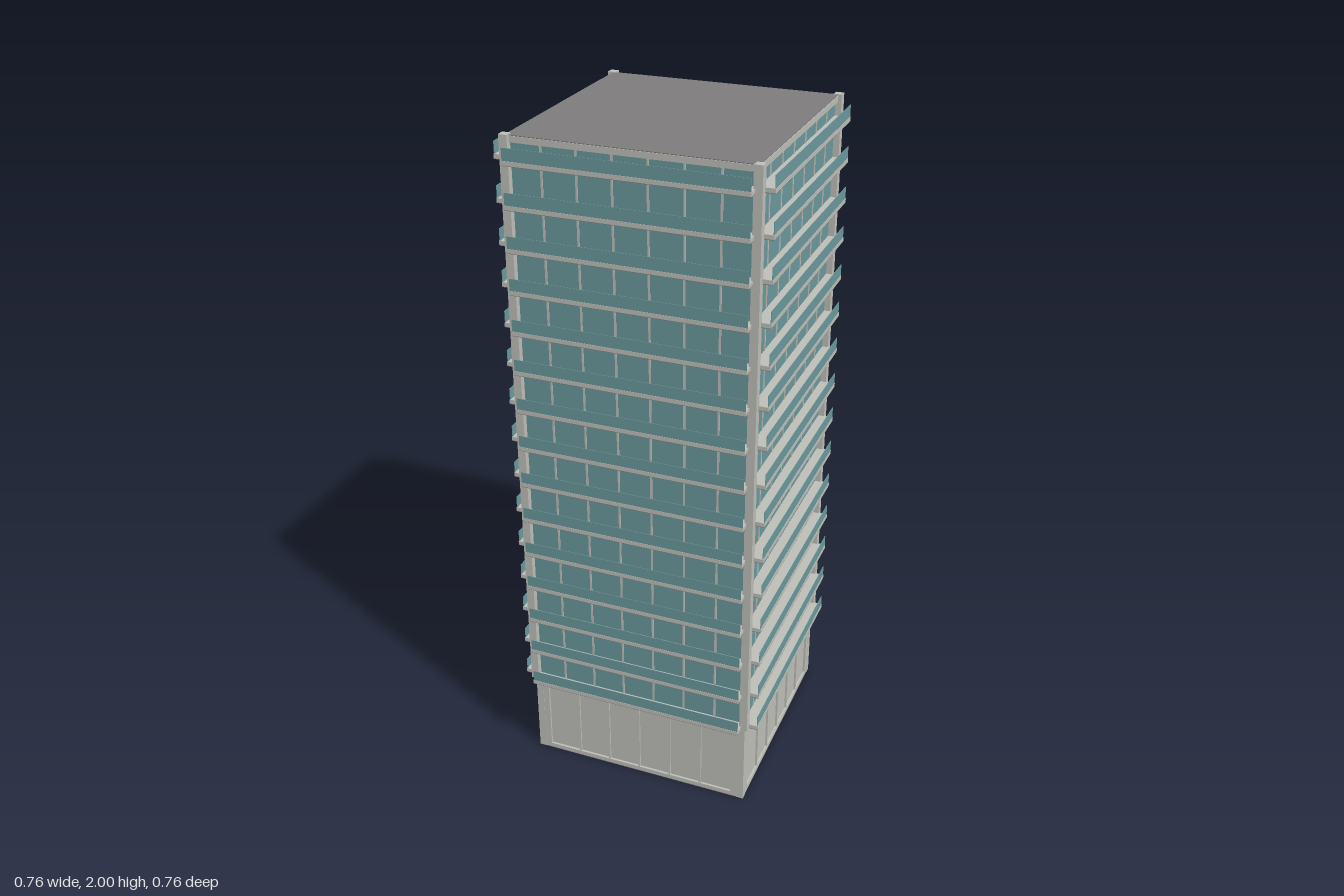
import * as THREE from 'three';

const concrete = new THREE.MeshStandardMaterial({ color: 0xc0c0ba });
concrete.name = 'concrete';
const glass = new THREE.MeshStandardMaterial({ color: 0x6c9a9d });
glass.name = 'teal glass';
const dark = new THREE.MeshStandardMaterial({ color: 0x7e7c7d });
dark.name = 'dark grey';

const FLOORS = 15, STEP = 0.118, FIRST = 0.281; // balcony levels
const HALF = 0.335;
const BASE_TOP = 0.275;

// Box given by its lower and upper limits on each axis
function box(parent, name, material, x0, x1, y0, y1, z0, z1) {
  const mesh = new THREE.Mesh(new THREE.BoxGeometry(x1 - x0, y1 - y0, z1 - z0), material);
  mesh.position.set((x0 + x1) / 2, (y0 + y1) / 2, (z0 + z1) / 2);
  mesh.name = name;
  parent.add(mesh);
}

// One facade, facing +z
function createSide() {
  const side = new THREE.Group();

  // Hollow base: recessed wall with a flush frame and ribs between six panels
  box(side, 'baseWall', concrete, -0.332, 0.332, 0.002, BASE_TOP, 0.326, 0.336);
  box(side, 'baseUnderside', dark, -0.332, 0.332, 0, 0.002, 0.326, 0.343);
  box(side, 'baseBottomBand', concrete, -0.332, 0.332, 0.002, 0.016, 0.33, 0.343);
  box(side, 'baseTopBand', concrete, -0.332, 0.332, 0.255, BASE_TOP - 0.001, 0.33, 0.343);
  for (const s of [-1, 1]) {
    box(side, 'baseJamb', concrete, s * 0.318 - 0.015, s * 0.318 + 0.015, 0.01, 0.26, 0.33, 0.343);
  }
  for (let i = -2; i <= 2; i++) {
    const x = i * 0.101;
    box(side, 'baseRib', concrete, x - 0.003, x + 0.003, 0.01, 0.26, 0.33, 0.342);
  }

  // Curtain wall with six slim mullions
  box(side, 'curtainWall', glass, -0.332, 0.332, BASE_TOP, 1.98, 0.332, 0.336);
  for (let i = 0; i < 6; i++) {
    const x = (i - 2.5) * 0.098;
    box(side, 'mullion', concrete, x - 0.003, x + 0.003, BASE_TOP, 1.98, 0.33, 0.338);
  }

  // Balcony slabs with dark soffits and thin glass railings
  for (let i = 0; i < FLOORS; i++) {
    const y = FIRST + i * STEP;
    box(side, 'balconySlab', concrete, -HALF, HALF, y - 0.005, y + 0.007, 0.327, 0.381);
    box(side, 'balconySoffit', dark, -HALF, HALF, y - 0.0065, y - 0.005, 0.327, 0.3805);
    box(side, 'balconyRailing', glass, -HALF + 0.001, HALF - 0.001, y + 0.007, y + 0.041, 0.3785, 0.38);
  }

  // Corner post, slimmer at the base
  box(side, 'basePost', concrete, 0.322, 0.344, 0.001, BASE_TOP, 0.322, 0.344);
  box(side, 'cornerPost', concrete, 0.33, 0.354, BASE_TOP, 2, 0.33, 0.354);
  return side;
}

export function createModel() {
  const model = new THREE.Group();
  model.name = 'towerBlock';

  ['frontSide', 'leftSide', 'backSide', 'rightSide'].forEach((name, i) => {
    const side = createSide();
    side.name = name;
    side.rotation.y = (i * Math.PI) / 2;
    model.add(side);
  });

  // Roof slab with dark covering
  box(model, 'roofSlab', concrete, -0.343, 0.343, 1.978, 1.995, -0.343, 0.343);
  box(model, 'roofCovering', dark, -0.341, 0.341, 1.995, 1.997, -0.341, 0.341);
  return model;
}
